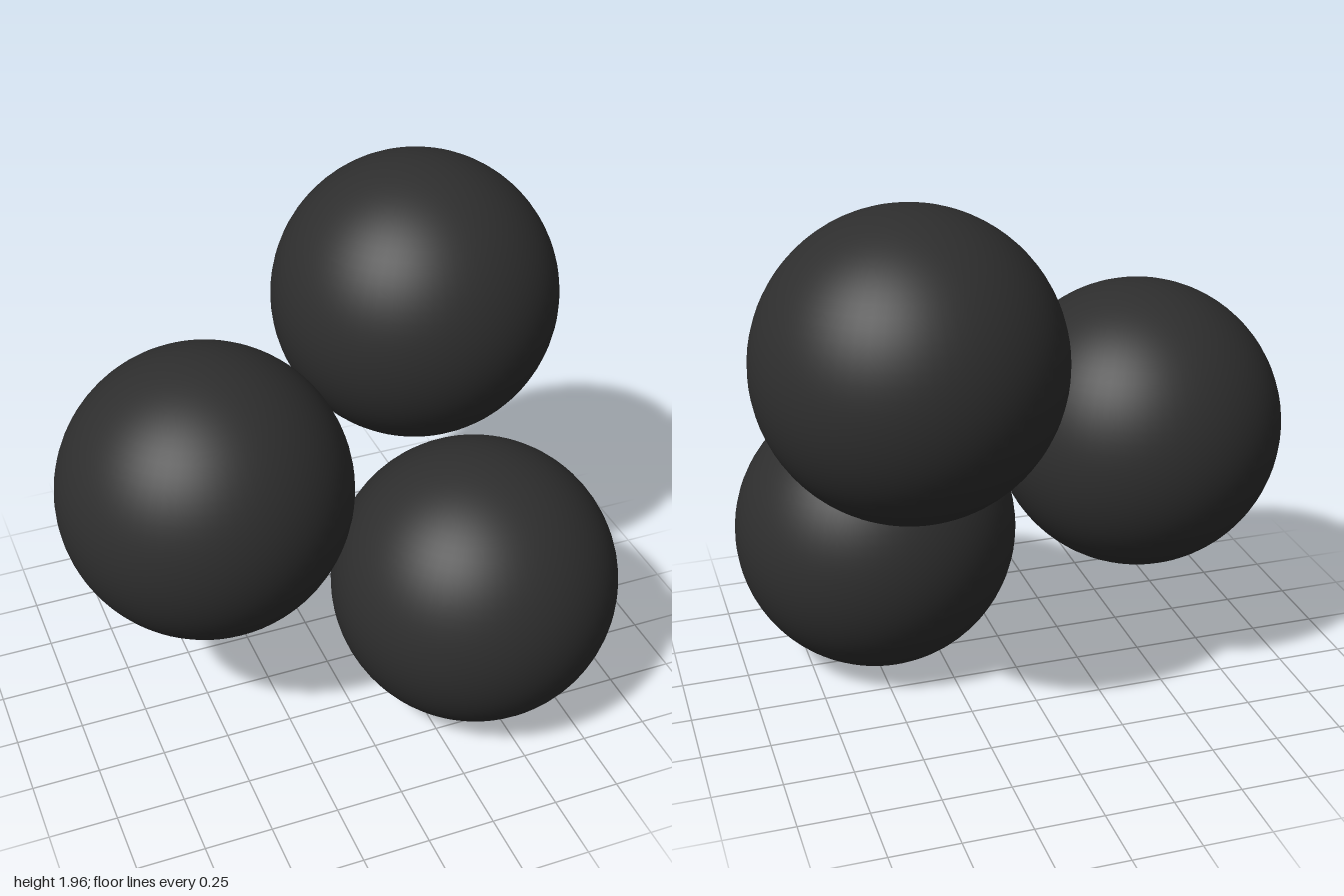
import * as THREE from 'three';

export function createModel() {
  const group = new THREE.Group();
  group.name = 'sphereCluster';
  const charcoal = new THREE.MeshStandardMaterial({ color: 0x2e2e2e });
  charcoal.name = 'charcoal';

  // three equal balls, just touching one another
  const ball = new THREE.SphereGeometry(0.534, 64, 40);
  const balls = {
    rightBall: [-0.466, 0.981, 0],
    upperBall: [0.466, 1.425, -0.31],
    lowerBall: [0.466, 0.537, 0.31],
  };
  for (const [name, position] of Object.entries(balls)) {
    const mesh = new THREE.Mesh(ball, charcoal);
    mesh.name = name;
    mesh.position.set(...position);
    group.add(mesh);
  }
  return group;
}
